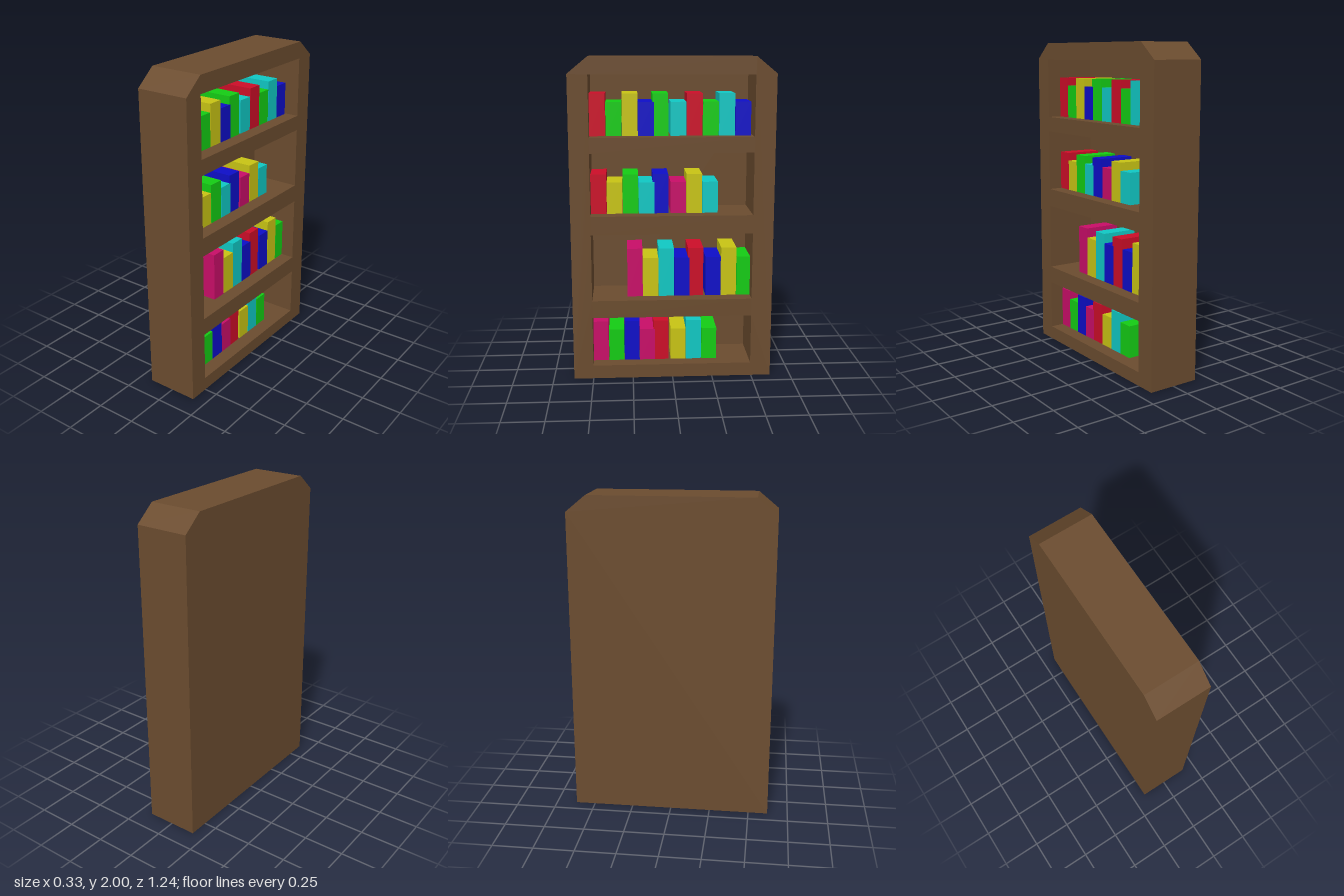
import * as THREE from 'three';

const BACK = -0.167, FRONT = 0.165, PANEL = 0.006; // shelf openings face +x
const COLORS = {
  r: 0xcc0e28, g: 0x14cc14, y: 0xc8c414, b: 0x0e0ec8, c: 0x10c8c4, m: 0xc80e68,
};

// One entry per compartment: floor, ceiling, tall and short book tops,
// z of the first book's outer side, and the book colours in order.
const ROWS = [
  { floor: 0.085, ceiling: 0.4, tall: 0.345, short: 0.29, start: 0.5, books: 'mgbmrycg' },
  { floor: 0.51, ceiling: 0.93, tall: 0.82, short: 0.76, start: 0.28, books: 'mycbrbyg' },
  { floor: 1.045, ceiling: 1.43, tall: 1.29, short: 1.24, start: 0.5, books: 'rygcbmyc' },
  { floor: 1.525, ceiling: 1.895, tall: 1.78, short: 1.73, start: 0.5, books: 'rgybgcrgcb' },
];

const rectPoints = (x0, x1, y0, y1) =>
  [[x0, y0], [x0, y1], [x1, y1], [x1, y0]].map(([x, y]) => new THREE.Vector2(x, y));

// Chamfered side profile; shape x becomes -z after the quarter turn
function caseProfile() {
  return new THREE.Shape([
    [-0.622, 0], [0.622, 0], [0.622, 1.9], [0.5, 2], [-0.5, 2], [-0.622, 1.9],
  ].map(([x, y]) => new THREE.Vector2(x, y)));
}

function extrudeAlongX(shape, x0, x1) {
  const geo = new THREE.ExtrudeGeometry(shape, { depth: x1 - x0, bevelEnabled: false });
  return geo.rotateY(Math.PI / 2).translate(x0, 0, 0);
}

export function createModel() {
  const model = new THREE.Group();
  model.name = 'bookcase';
  const wood = new THREE.MeshStandardMaterial({ color: 0x6b4c2f, flatShading: true });
  const bookMaterials = {};
  for (const key in COLORS) {
    bookMaterials[key] = new THREE.MeshStandardMaterial({ color: COLORS[key], flatShading: true });
  }

  // Frame with four openings
  const frameShape = caseProfile();
  for (const row of ROWS) {
    frameShape.holes.push(new THREE.Path(rectPoints(-0.5, 0.495, row.floor, row.ceiling)));
  }
  const frame = new THREE.Mesh(extrudeAlongX(frameShape, BACK + PANEL, FRONT), wood);
  frame.name = 'frame';

  // Thin panel closing the back
  const panel = new THREE.Mesh(extrudeAlongX(caseProfile(), BACK, BACK + PANEL), wood);
  panel.name = 'backPanel';
  model.add(frame, panel);

  // Books, alternating tall and short, set back from the opening
  const width = 0.096, pitch = 0.0985;
  const bookBack = BACK + PANEL + 0.002, bookFront = 0.077;
  ROWS.forEach((row, r) => {
    const shelf = new THREE.Group();
    shelf.name = `bookRow${r + 1}`;
    [...row.books].forEach((key, i) => {
      const height = (i % 2 ? row.short : row.tall) - row.floor;
      // the fifth book sits tight against the fourth
      const nudge = i === 4 ? 0.012 : 0;
      const front = bookFront - (i === 4 ? 0.001 : 0);
      const book = new THREE.Mesh(
        new THREE.BoxGeometry(front - bookBack, height, width), bookMaterials[key]);
      book.position.set((front + bookBack) / 2, row.floor + height / 2,
        row.start - i * pitch - width / 2 + nudge);
      book.name = `book${i + 1}`;
      shelf.add(book);
    });
    model.add(shelf);
  });
  return model;
}
